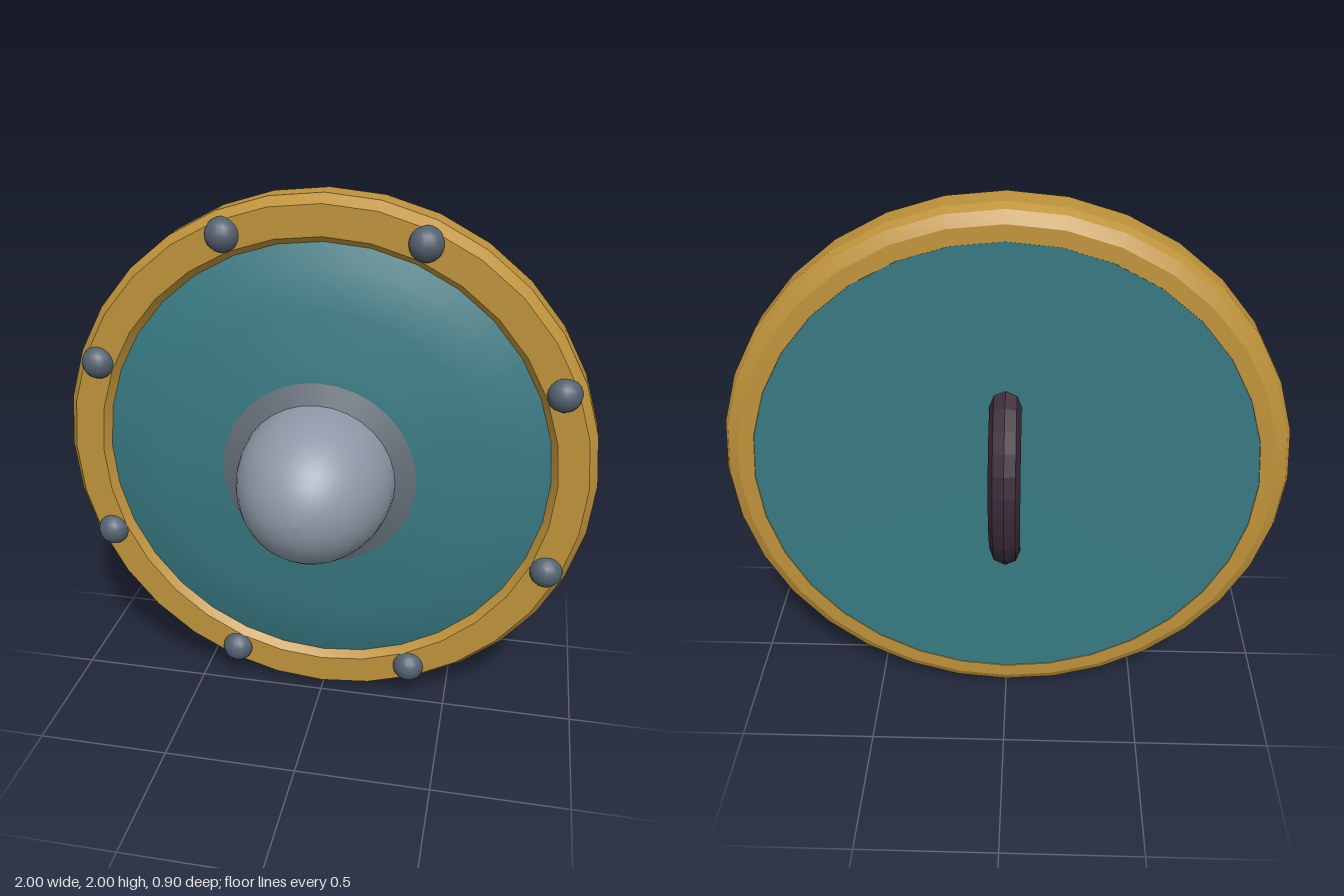
import * as THREE from 'three';
import { toCreasedNormals } from 'three/addons/utils/BufferGeometryUtils.js';

const material = (name, color, extra = {}) =>
  Object.assign(new THREE.MeshStandardMaterial({ color, ...extra }), { name });

// Revolve a [radius, z] profile about the front-back axis (listed back to front).
function revolve(profile, segments) {
  const points = profile.map(([r, z]) => new THREE.Vector2(r, z));
  return new THREE.LatheGeometry(points, segments).rotateX(Math.PI / 2);
}

export function createModel() {
  const gold = material('gold rim', 0xbe923a);
  const teal = material('teal board', 0x387982);
  const steel = material('light steel', 0x8e98a6);
  const collarSteel = material('dull steel', 0x656d78);
  const iron = material('dark iron', 0x53616f);
  const leather = material('dark leather', 0x3a2a38, { flatShading: true });

  const model = new THREE.Group();
  model.name = 'roundShield';
  const body = new THREE.Group();
  body.name = 'shieldBody';
  body.position.y = 1;
  model.add(body);

  const add = (name, geometry, mat) => {
    const mesh = new THREE.Mesh(geometry, mat);
    mesh.name = name;
    body.add(mesh);
    return mesh;
  };

  // Bevelled metal rim
  const rim = revolve([
    [0.885, -0.205], [0.89, -0.215], [0.945, -0.213], [0.985, -0.19],
    [1, -0.16], [1, -0.06], [0.97, -0.02], [0.86, -0.02], [0.83, -0.06],
  ], 32);
  add('rim', toCreasedNormals(rim, 0.45), gold);

  // Gently domed board front and flat board back
  add('boardFront', revolve([
    [0.86, -0.06], [0.75, -0.02], [0.62, 0.015], [0.4, 0.042], [0.34, 0.055], [0, 0.075],
  ], 32), teal);
  const back = new THREE.CircleGeometry(0.89, 32).rotateY(Math.PI);
  back.translate(0, 0, -0.213);
  add('boardBack', back, teal);

  // Sloped collar and domed boss
  add('bossCollar', revolve([[0.36, 0.051], [0.28, 0.08]], 32), collarSteel);
  const dome = [];
  for (let i = 0; i <= 10; i++) {
    const a = (i / 10) * Math.PI / 2;
    dome.push([i === 10 ? 0 : 0.287 * Math.cos(a), 0.08 + 0.37 * Math.sin(a)]);
  }
  add('boss', revolve(dome, 32), steel);

  // Eight rivets around the rim
  const rivet = new THREE.SphereGeometry(0.062, 16, 10);
  for (let i = 0; i < 8; i++) {
    const a = (i + 0.5) * Math.PI / 4;
    add(`rivet${i + 1}`, rivet, iron).position.set(0.92 * Math.cos(a), 0.92 * Math.sin(a), -0.028);
  }

  // Arched grip behind the board
  const grip = new THREE.TorusGeometry(0.342, 0.055, 8, 16, Math.PI);
  grip.rotateZ(Math.PI / 2).rotateY(-Math.PI / 2);
  add('grip', grip, leather).position.z = -0.053;

  return model;
}
